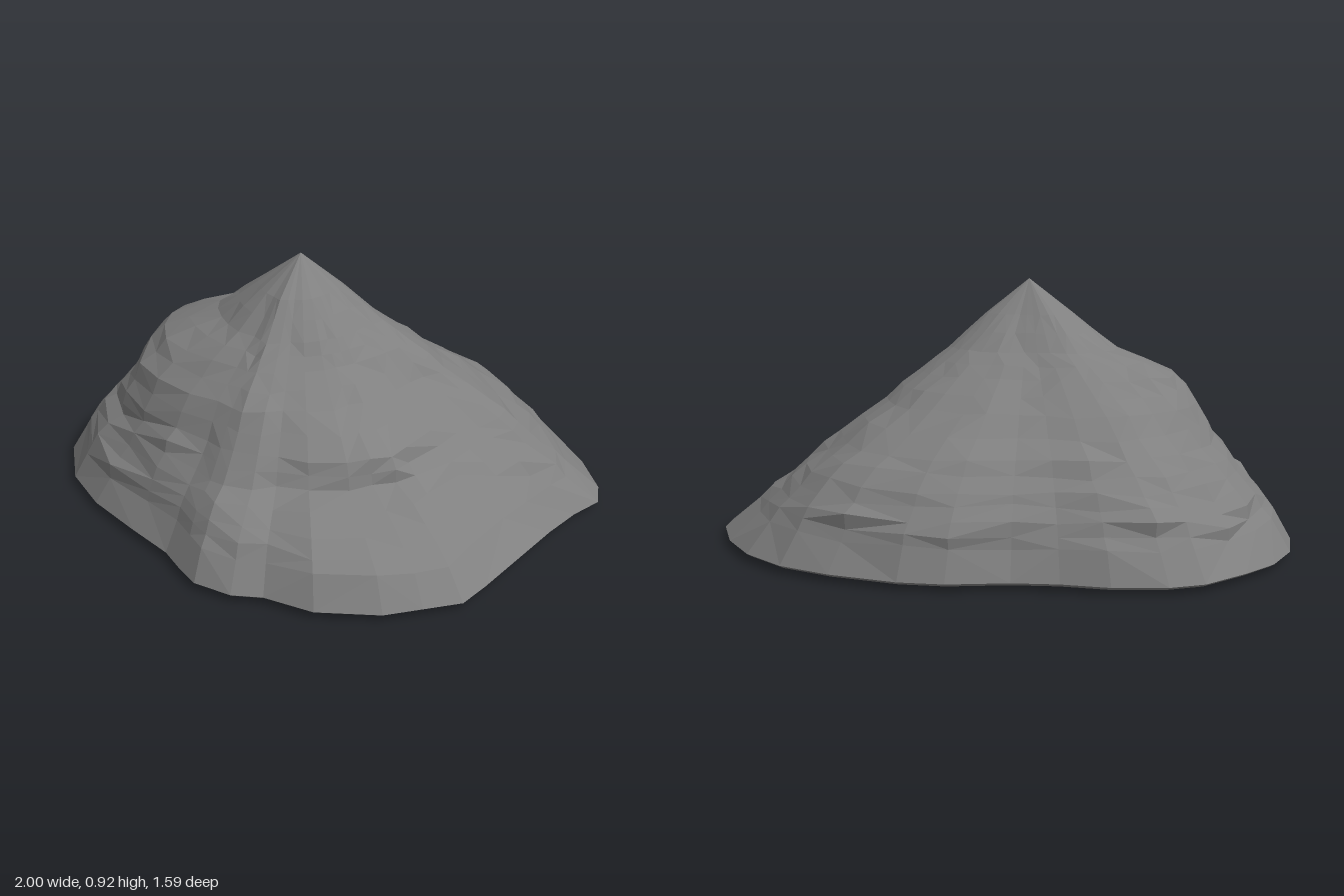
import * as THREE from 'three';

// Plan outline of the foot of the rock, as x, z pairs
const OUTLINE = [
  1, -.32, .95, -.2, .91, -.05, .88, .1, .83, .35, .8, .47, .7, .56, .6, .65, .4, .74, .22, .75, .12, .79, -.02, .79,
  -.1, .75, -.2, .69, -.38, .63, -.6, .55, -.78, .44, -.92, .27, -.98, .1, -1, -.06, -.97, -.22, -.9, -.35, -.8, -.5,
  -.7, -.57, -.53, -.63, -.37, -.65, -.22, -.69, -.03, -.77, .12, -.8, .36, -.8, .55, -.77, .72, -.69, .86, -.57, .97, -.42,
];
const PEAK = { x: -.04, y: .92, z: .02 };

// Contours: height, then reach as a share of the outline every 30 degrees
// (0 = +x, 90 = front, 180 = -x, 270 = back)
const CONTOURS = [
  [.13, .90, .92, .94, .92, .92, .94, .93, .94, .95, .96, .94, .89],
  [.21, .78, .79, .83, .85, .87, .89, .87, .90, .92, .93, .92, .81],
  [.29, .67, .61, .63, .75, .81, .77, .80, .83, .85, .86, .84, .73],
  [.38, .57, .58, .60, .65, .74, .74, .70, .72, .75, .75, .72, .62],
  [.50, .43, .40, .45, .56, .65, .68, .63, .59, .57, .54, .51, .47],
  [.60, .34, .29, .33, .43, .51, .56, .56, .46, .41, .37, .37, .36],
  [.68, .25, .23, .26, .33, .36, .33, .34, .30, .28, .26, .26, .26],
  [.80, .13, .13, .16, .20, .20, .17, .17, .16, .15, .12, .13, .14],
];

// Repeatable noise in -1..1
function noise(i, j) {
  const s = Math.sin(i * 127.1 + j * 311.7 + 4.3) * 43758.5453;
  return (s - Math.floor(s)) * 2 - 1;
}

// Share of the outline reached by a contour at a given angle
function reach(contour, angle) {
  const t = ((angle / (Math.PI / 6)) % 12 + 12) % 12;
  const k = Math.floor(t);
  return THREE.MathUtils.lerp(contour[1 + k], contour[1 + (k + 1) % 12], t - k);
}

// One loop around the rock; the roughness fades towards the summit
function ringAt(row, shareOf, heightOf, rough) {
  const ring = [];
  for (let j = 0; j < OUTLINE.length / 2; j++) {
    const dx = OUTLINE[2 * j] - PEAK.x, dz = OUTLINE[2 * j + 1] - PEAK.z;
    const share = shareOf(Math.atan2(dz, dx));
    const bump = rough * share;
    const s = share + bump * noise(row, j);
    ring.push(new THREE.Vector3(PEAK.x + dx * s, heightOf(j) + bump * .7 * noise(row + 50, j), PEAK.z + dz * s));
  }
  return ring;
}

function rockGeometry() {
  const rings = [];
  // Underside: centre, flat field, small bump near the front, rim
  rings.push(ringAt(0, () => 0, () => .02, 0));
  rings.push(ringAt(1, () => .55, () => .02, 0));
  rings.push(ringAt(2, () => .8, j => (j === 13 ? 0 : .02), 0));
  rings.push(ringAt(3, () => .985, () => .018, 0));
  rings.push(ringAt(4, () => 1, () => .028, 0));
  // Slopes: each contour with a rougher ring halfway to the next
  CONTOURS.forEach((c, i) => {
    rings.push(ringAt(10 + 2 * i, a => reach(c, a), () => c[0], .014));
    const next = CONTOURS[i + 1];
    if (next) {
      rings.push(ringAt(11 + 2 * i, a => (reach(c, a) + reach(next, a)) / 2, () => (c[0] + next[0]) / 2, .018));
    }
  });
  // Summit
  rings.push(ringAt(40, () => 0, () => PEAK.y, 0));

  const pos = [];
  const tri = (a, b, c) => {
    const area = b.clone().sub(a).cross(c.clone().sub(a)).length();
    if (area > 1e-7) [a, b, c].forEach(v => pos.push(v.x, v.y, v.z));
  };
  for (let i = 0; i < rings.length - 1; i++) {
    const low = rings[i], high = rings[i + 1], n = low.length;
    for (let j = 0; j < n; j++) {
      const k = (j + 1) % n;
      // Alternate the diagonals for an irregular, chipped surface
      if (noise(i + 80, j) > 0) {
        tri(low[j], high[j], low[k]);
        tri(high[j], high[k], low[k]);
      } else {
        tri(low[j], high[j], high[k]);
        tri(low[j], high[k], low[k]);
      }
    }
  }
  const geometry = new THREE.BufferGeometry();
  geometry.setAttribute('position', new THREE.Float32BufferAttribute(pos, 3));
  geometry.computeVertexNormals();
  return geometry;
}

export function createModel() {
  const group = new THREE.Group();
  group.name = 'rock';
  const material = new THREE.MeshStandardMaterial({ color: 0x808080, flatShading: true });
  const boulder = new THREE.Mesh(rockGeometry(), material);
  boulder.name = 'boulder';
  group.add(boulder);
  return group;
}
